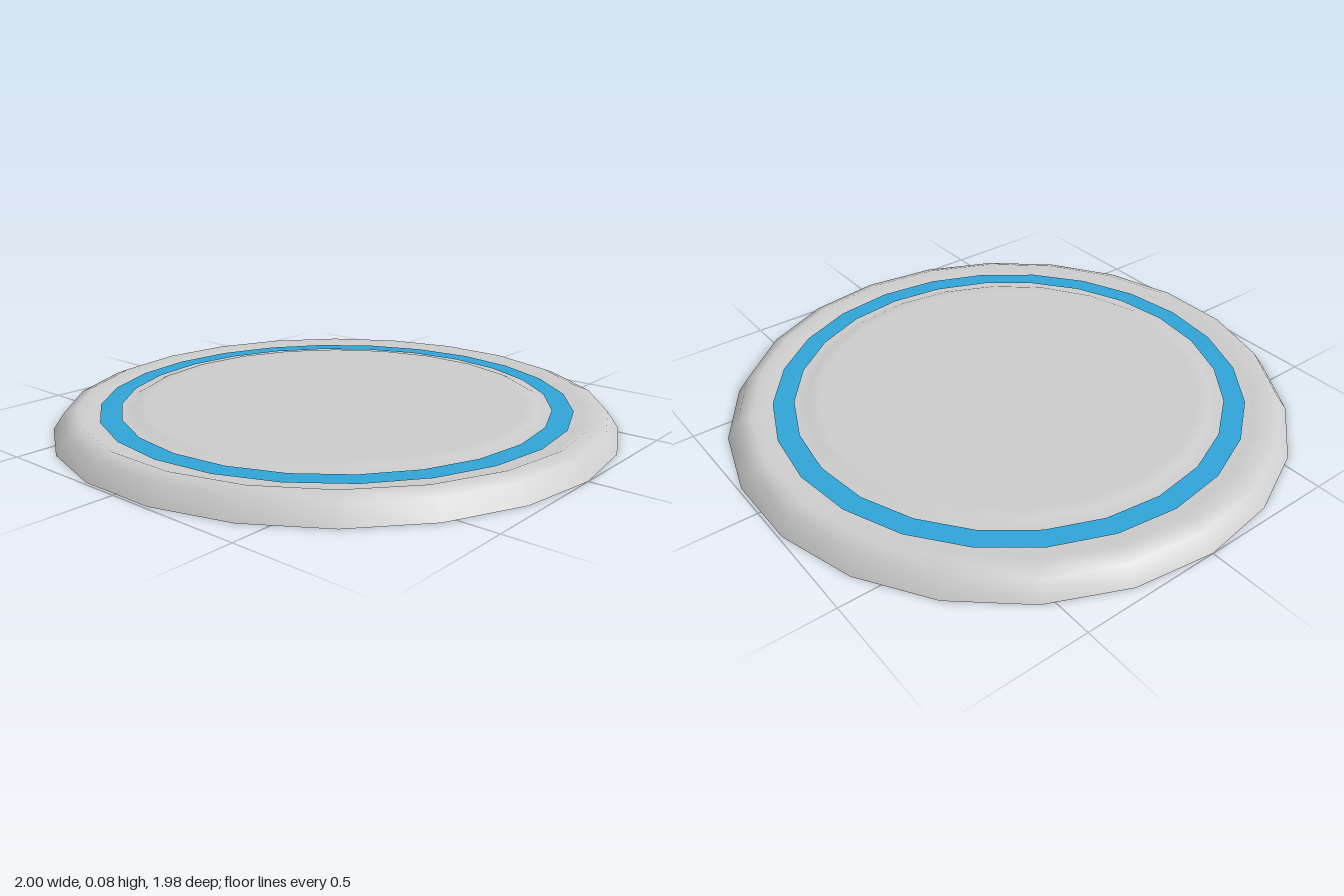
import * as THREE from 'three';

export function createModel() {
  const group = new THREE.Group();
  const grey = new THREE.MeshStandardMaterial({ color: 0xcccccc, side: THREE.DoubleSide });
  grey.name = 'light grey plastic';
  const blue = new THREE.MeshStandardMaterial({ color: 0x30a4d8 });
  blue.name = 'blue stripe';

  // Hollow disc shell: flared rim, rounded crest, shallow groove, raised centre plate
  const profile = [
    [1, 0], [0.96, 0.058], [0.91, 0.078], [0.87, 0.062],
    [0.75, 0.06], [0.72, 0.074], [0.68, 0.075], [0, 0.075],
  ].map(([r, y]) => new THREE.Vector2(r, y));
  const disc = new THREE.Mesh(new THREE.LatheGeometry(profile, 22, Math.PI / 2), grey);
  disc.name = 'disc';
  group.add(disc);

  // Flat painted ring lying in the groove
  const ring = new THREE.Mesh(new THREE.RingGeometry(0.765, 0.84, 24).rotateX(-Math.PI / 2), blue);
  ring.name = 'stripeRing';
  ring.position.y = 0.066;
  group.add(ring);

  return group;
}
